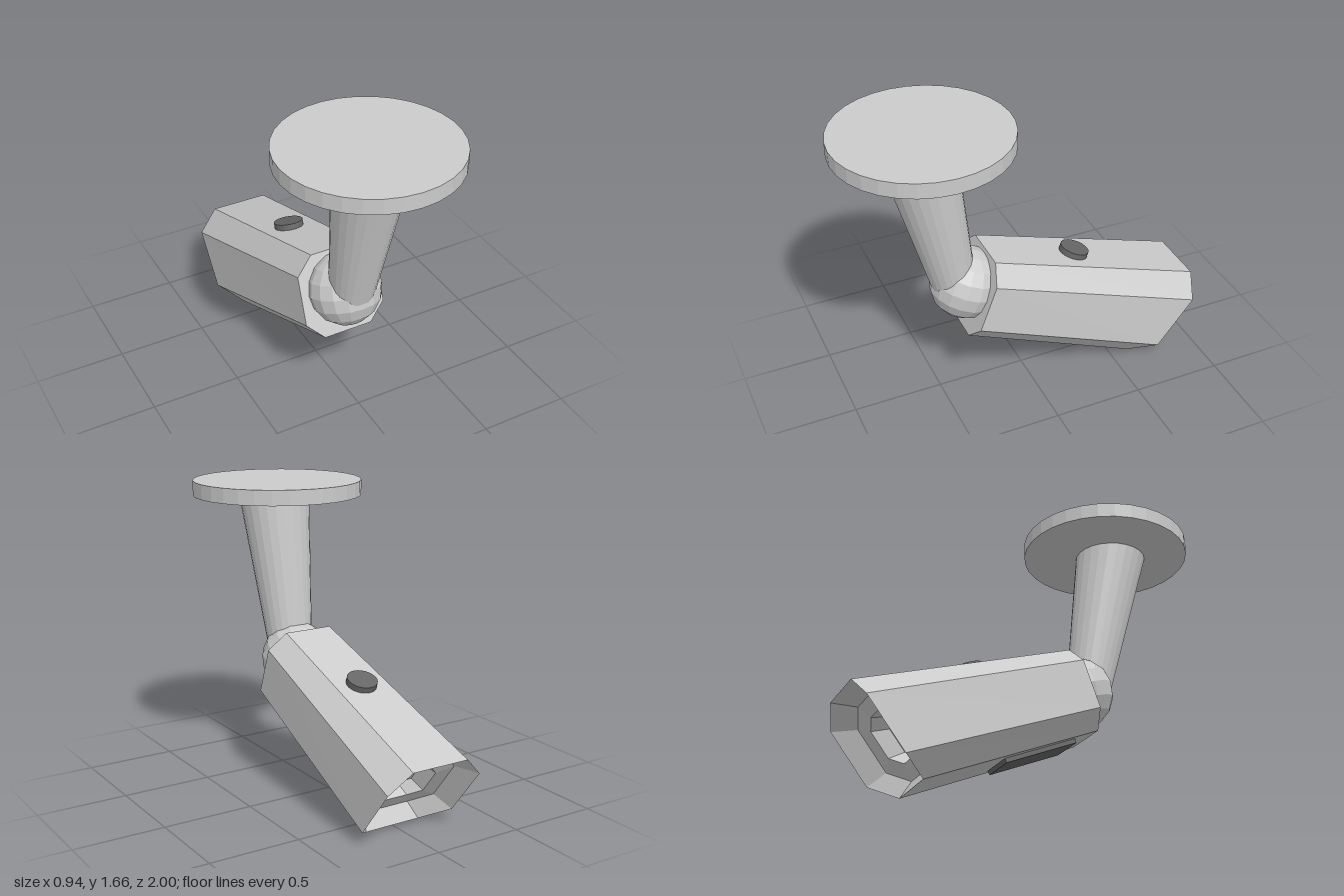
import * as THREE from 'three';

const grey = new THREE.MeshStandardMaterial({ color: 0xcccccc, flatShading: true });
const dark = new THREE.MeshStandardMaterial({ color: 0x666666, flatShading: true });
const black = new THREE.MeshStandardMaterial({ color: 0x111111, flatShading: true });

function add(parent, name, geometry, material, x = 0, y = 0, z = 0, tilt = 0) {
  const mesh = new THREE.Mesh(geometry, material);
  mesh.name = name;
  mesh.position.set(x, y, z);
  mesh.rotation.x = tilt;
  parent.add(mesh);
  return mesh;
}

// Octagon from four [halfWidth, height, z] levels, top to bottom
function octagon(levels) {
  const right = [2, 1, 0].map(i => levels[i]);
  const left = [0, 1, 2, 3].map(i => levels[i]);
  const point = ([w, h, z], side) => new THREE.Vector3(w * side, h, z);
  return [...right.map(l => point(l, 1)), ...left.map(l => point(l, -1)), point(levels[3], 1)];
}

// Skin a row of rings with flat faces
function loft(rings) {
  const points = [];
  for (let r = 0; r + 1 < rings.length; r++) {
    const a = rings[r], b = rings[r + 1], n = a.length;
    for (let i = 0; i < n; i++) {
      const j = (i + 1) % n;
      points.push(b[i], b[j], a[j], b[i], a[j], a[i]);
    }
  }
  const geometry = new THREE.BufferGeometry().setFromPoints(points);
  geometry.computeVertexNormals();
  return geometry;
}

export function createModel() {
  const model = new THREE.Group();
  model.name = 'securityCamera';

  // Ceiling mount
  add(model, 'ceilingPlate', new THREE.CylinderGeometry(0.47, 0.47, 0.083, 32), grey, 0, 1.626, 0.53);
  const top = new THREE.Vector3(0, 1.62, 0.569), bottom = new THREE.Vector3(0, 0.72, 0.397);
  const axis = top.clone().sub(bottom);
  const mid = top.clone().add(bottom).multiplyScalar(0.5);
  add(model, 'arm', new THREE.CylinderGeometry(0.2, 0.122, axis.length(), 24), grey,
    0, mid.y, mid.z, Math.atan2(axis.z, axis.y));
  add(model, 'ballJoint', new THREE.SphereGeometry(0.2, 16, 8), grey, 0, 0.685, 0.325, -0.36);

  // Tilted housing, rear at local z = 0 and lens towards local -z
  const head = new THREE.Group();
  head.name = 'cameraHead';
  head.position.set(0, 0.65, 0.29);
  head.rotation.x = -0.358;
  model.add(head);

  const rear = octagon([[0.14, 0.234, 0], [0.235, 0.136, 0], [0.235, -0.136, 0], [0.14, -0.234, 0]]);
  const rim = octagon([[0.165, 0.269, -1.277], [0.28, 0.15, -1.273], [0.28, -0.172, -1.17], [0.165, -0.289, -1.069]]);
  const inset = (scale, depth) => rim.map(p =>
    new THREE.Vector3(p.x * scale, p.y * scale, -1.18 + (p.z + 1.18) * scale + depth));
  const rearCentre = rear.map(() => new THREE.Vector3());

  // Hull, sloped hood and stepped lens recess
  add(head, 'housing', loft([rearCentre, rear, rim, inset(0.78, 0.1), inset(0.48, 0.1),
    inset(0.42, 0.19), inset(0.36, 0.19)]), grey);
  add(head, 'lensSurround', loft([inset(0.36, 0.19), inset(0.12, 0.2)]), black);
  add(head, 'lens', loft([inset(0.12, 0.2), inset(0, 0.2)]), grey);

  // Top button and underside panel
  add(head, 'topButton', new THREE.CylinderGeometry(0.082, 0.082, 0.05, 24), dark, 0, 0.257, -0.554, 0.027);
  add(head, 'undersidePanel', new THREE.BoxGeometry(0.21, 0.04, 0.44), dark, 0, -0.256, -0.351, -0.051);

  return model;
}
